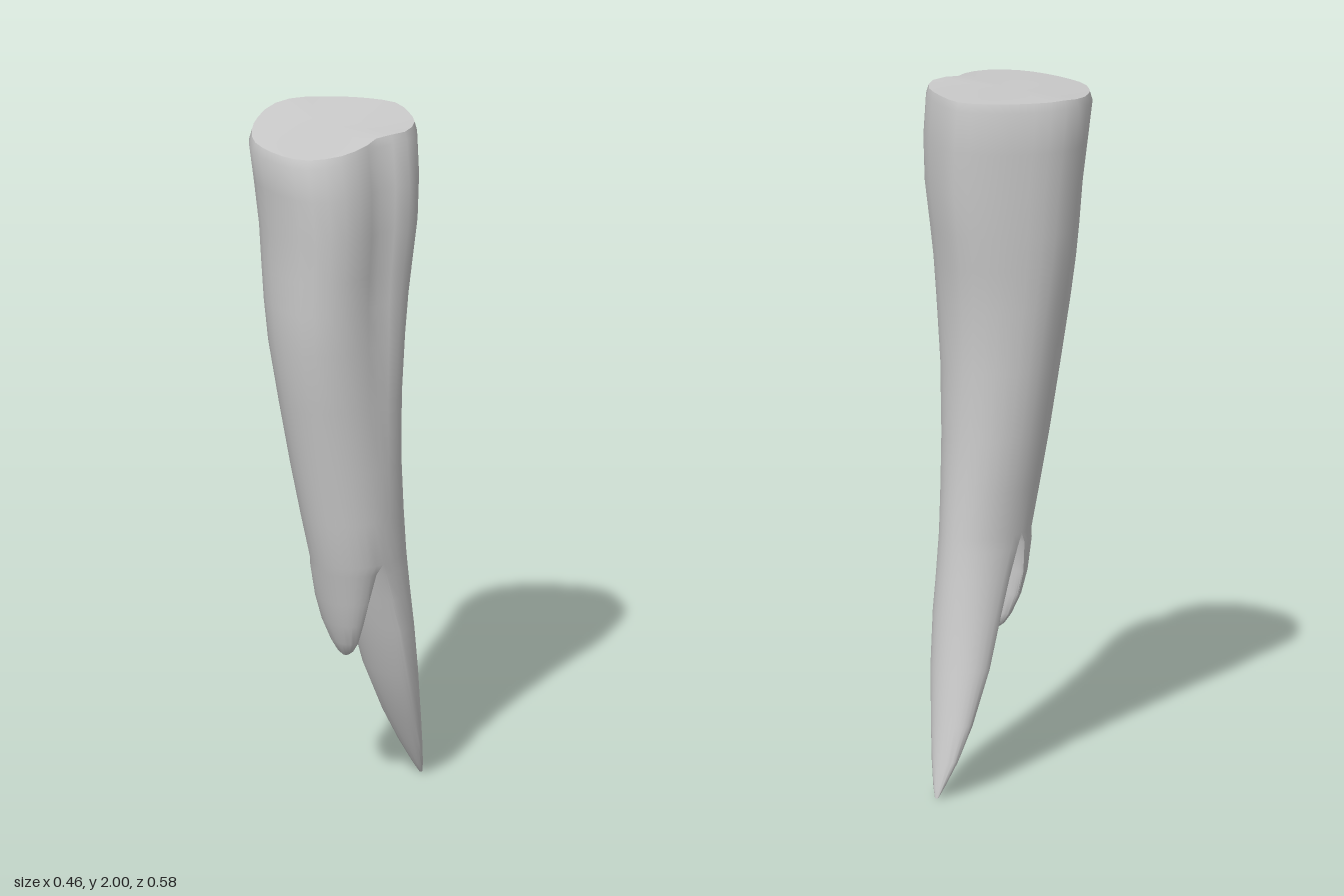
import * as THREE from 'three';
import { toCreasedNormals } from 'three/addons/utils/BufferGeometryUtils.js';

const SEG = 16; // segments in each half of a cross-section

// Neck outline in two halves: u runs -1..1 across, w runs 0..1 outwards from the split
const half = (pts) => new THREE.SplineCurve(pts.map(([u, w]) => new THREE.Vector2(u, w))).getSpacedPoints(SEG);
const neckFront = half([[0.9, 0], [0.96, 0.17], [0.98, 0.4], [0.91, 0.67], [0.65, 0.93], [0.2, 1],
  [-0.33, 0.9], [-0.72, 0.59], [-0.95, 0.22], [-1, 0]]);
const neckBack = half([[-1, 0], [-0.9, 0.32], [-0.59, 0.65], [-0.3, 0.86], [0.06, 1], [0.34, 0.94],
  [0.78, 0.72], [0.99, 0.43], [0.97, 0.2], [0.9, 0]]);

// Half cross-section: side +1 goes left-front-right, side -1 returns right-back-left
function arc(side, y, x0, x1, zSplit, zOuter, blend = 0) {
  const neck = side > 0 ? neckFront : neckBack;
  return neck.map((p, i) => {
    const a = (i / SEG) * Math.PI;
    const u = THREE.MathUtils.lerp(Math.cos(a) * side, p.x, blend);
    const w = THREE.MathUtils.lerp(Math.sin(a), p.y, blend);
    return new THREE.Vector3((x0 + x1) / 2 + (u * (x1 - x0)) / 2, y, zSplit + w * (zOuter - zSplit));
  });
}

const joinArcs = (a, b) => [...a.slice(0, SEG), ...b.slice(0, SEG)];

// Skin a stack of rings listed from top to bottom
function skin(rings, out, capTop, capBottom) {
  const n = rings[0].length;
  const tri = (...v) => v.forEach((p) => out.push(p.x, p.y, p.z));
  const centre = (r) => r.reduce((s, p) => s.add(p), new THREE.Vector3()).divideScalar(n);
  for (let r = 0; r < rings.length - 1; r++) {
    for (let i = 0; i < n; i++) {
      const j = (i + 1) % n, top = rings[r], low = rings[r + 1];
      tri(top[i], top[j], low[i]);
      tri(top[j], low[j], low[i]);
    }
  }
  const first = rings[0], last = rings[rings.length - 1];
  for (let i = 0; i < n; i++) {
    const j = (i + 1) % n;
    if (capTop) tri(centre(first), first[j], first[i]);
    if (capBottom) tri(centre(last), last[i], last[j]);
  }
}

// Trunk rows: y, x min, x max, z split, z front, z back
const trunkRows = [
  [2.0, -0.222, 0.212, 0.04, 0.282, -0.198],
  [1.975, -0.23, 0.219, 0.04, 0.29, -0.204],
  [1.85, -0.217, 0.23, 0.04, 0.283, -0.2],
  [1.72, -0.2, 0.228, 0.04, 0.272, -0.192],
  [1.6, -0.187, 0.216, 0.04, 0.267, -0.178],
  [1.5, -0.172, 0.21, 0.04, 0.265, -0.163],
  [1.38, -0.152, 0.206, 0.035, 0.258, -0.148],
  [1.2, -0.125, 0.197, 0.03, 0.226, -0.14],
  [1.0, -0.098, 0.19, 0.02, 0.188, -0.143],
  [0.85, -0.077, 0.184, 0.01, 0.158, -0.152],
  [0.72, -0.06, 0.177, 0.0, 0.13, -0.164],
];

// Prong rows: y, x min, x max, z inner, z outer, roundness of the inner wall
const frontRows = [
  [0.72, -0.06, 0.177, 0.0, 0.13, 0],
  [0.69, -0.058, 0.165, 0.012, 0.122, 0.03],
  [0.6, -0.047, 0.143, 0.012, 0.1, 0.15],
  [0.53, -0.028, 0.122, 0.01, 0.08, 0.25],
  [0.47, 0.0, 0.098, 0.008, 0.058, 0.35],
  [0.44, 0.022, 0.075, 0.009, 0.043, 0.45],
  [0.428, 0.038, 0.058, 0.015, 0.032, 0.5],
];
const backRows = [
  [0.72, -0.06, 0.177, 0.0, -0.164, 0],
  [0.68, -0.057, 0.174, -0.012, -0.168, 0.03],
  [0.6, -0.053, 0.168, -0.03, -0.178, 0.12],
  [0.5, -0.05, 0.16, -0.058, -0.193, 0.2],
  [0.35, -0.045, 0.14, -0.1, -0.216, 0.3],
  [0.2, -0.034, 0.1, -0.168, -0.247, 0.4],
  [0.1, -0.015, 0.07, -0.222, -0.267, 0.45],
  [0.03, 0.008, 0.044, -0.262, -0.283, 0.5],
  [0.0, 0.02, 0.03, -0.282, -0.288, 0.5],
];

function prong(rows, side) {
  return rows.map(([y, x0, x1, zIn, zOut, k]) => {
    const zSplit = THREE.MathUtils.lerp(zIn, zOut, k);
    return joinArcs(arc(side, y, x0, x1, zSplit, zOut), arc(-side, y, x0, x1, zSplit, zIn));
  });
}

export function createModel() {
  const group = new THREE.Group();
  group.name = 'forkedRoot';
  const positions = [];

  // Trunk, with the grooved neck outline fading into an oval lower down
  const trunk = trunkRows.map(([y, x0, x1, zs, zf, zb]) => {
    const blend = THREE.MathUtils.smoothstep(y, 0.8, 1.7);
    return joinArcs(arc(1, y, x0, x1, zs, zf, blend), arc(-1, y, x0, x1, zs, zb, blend));
  });
  // Cut face slopes down slightly towards the front
  trunk.slice(0, 2).forEach((ring) => ring.forEach((p) => { p.y -= 0.11 * Math.max(p.z, 0); }));
  skin(trunk, positions, true, false);

  // Short front prong and long back prong
  skin(prong(frontRows, 1), positions, false, true);
  skin(prong(backRows, -1), positions, false, true);

  const geometry = new THREE.BufferGeometry();
  geometry.setAttribute('position', new THREE.Float32BufferAttribute(positions, 3));
  const mesh = new THREE.Mesh(
    toCreasedNormals(geometry, 0.7),
    new THREE.MeshStandardMaterial({ color: 0xcccccc }),
  );
  mesh.name = 'root';
  group.add(mesh);
  return group;
}
